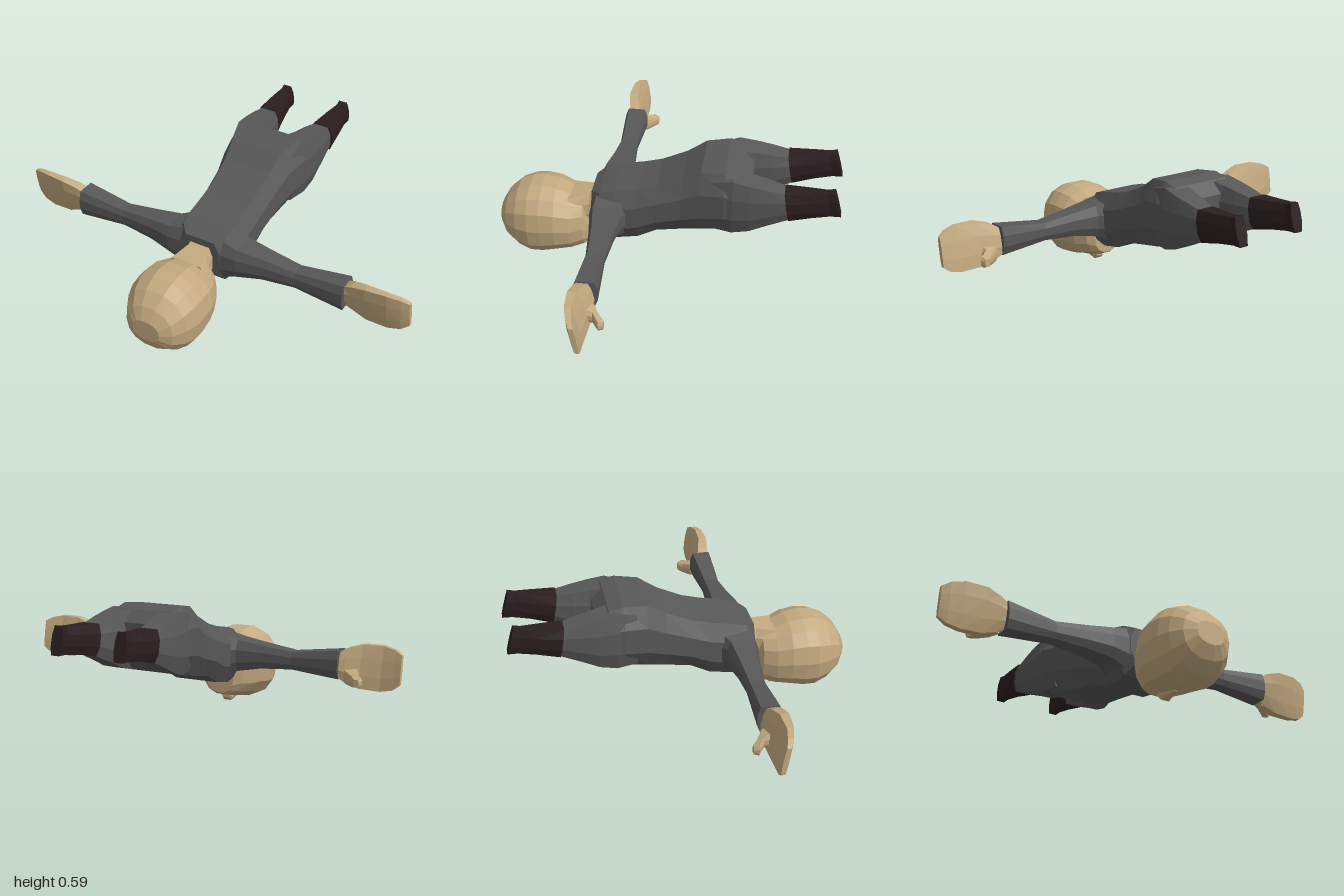
import * as THREE from 'three';

const suit = new THREE.MeshStandardMaterial({ color: 0x585858 });
suit.name = 'charcoal suit';
const skin = new THREE.MeshStandardMaterial({ color: 0xc4aa80 });
skin.name = 'tan skin';
const leather = new THREE.MeshStandardMaterial({ color: 0x2b1e20 });
leather.name = 'dark leather';

// Unit outlines: a chamfered box for body and limbs, a rounded one for the head
const BOX = [[0.74, 1], [1, 0.4], [1, -0.4], [0.72, -1], [-0.72, -1], [-1, -0.4], [-1, 0.4], [-0.74, 1]];
const ROUND = Array.from({ length: 14 }, (_, i) => {
  const a = ((i + 0.5) / 14) * Math.PI * 2;
  const p = (v) => Math.sign(v) * Math.abs(v) ** 0.85;
  return [p(Math.sin(a)) * 1.01, p(Math.cos(a)) * 1.02];
});

// Faceted skin over a list of rings, capped at both ends, always facing outward
function loft(name, material, rings) {
  const n = rings[0].length;
  const tris = [];
  for (let r = 0; r < rings.length - 1; r++) {
    for (let i = 0; i < n; i++) {
      const j = (i + 1) % n;
      const [a, b, c, d] = [rings[r][i], rings[r][j], rings[r + 1][j], rings[r + 1][i]];
      tris.push([a, b, c], [a, c, d]);
    }
  }
  const last = rings[rings.length - 1];
  for (let i = 1; i < n - 1; i++) {
    tris.push([rings[0][0], rings[0][i + 1], rings[0][i]], [last[0], last[i], last[i + 1]]);
  }
  const volume = tris.reduce((s, [a, b, c]) => s + a.dot(b.clone().cross(c)), 0);
  if (volume < 0) tris.forEach((t) => t.reverse());
  const geometry = new THREE.BufferGeometry().setFromPoints(tris.flat());
  geometry.computeVertexNormals();
  const mesh = new THREE.Mesh(geometry, material);
  mesh.name = name;
  return mesh;
}

// Ring across z: x range, y range, optional slant of the ring along z
function ringZ(outline, z, x0, x1, y0, y1, slant = 0) {
  return outline.map(([u, v]) => new THREE.Vector3(
    (x0 + x1) / 2 + (u * (x1 - x0)) / 2, (y0 + y1) / 2 + (v * (y1 - y0)) / 2, z + v * slant));
}

// Ring across x: z range, y range, optional lean of the ring toward +z at its top
function ringX(outline, x, z0, z1, y0, y1, lean = 0) {
  return outline.map(([u, v]) => new THREE.Vector3(
    x, (y0 + y1) / 2 + (v * (y1 - y0)) / 2, (z0 + z1) / 2 + (u * (z1 - z0)) / 2 + v * lean));
}

export function createModel() {
  const model = new THREE.Group();
  model.name = 'proneFigure';
  const centred = (outline, rows) => rows.map(([z, w, y0, y1]) => ringZ(outline, z, -w, w, y0, y1));

  // Torso, chest to seat: z, half width, bottom, top
  model.add(loft('torso', suit, centred(BOX, [
    [0.352, 0.1, 0.215, 0.39], [0.31, 0.15, 0.165, 0.41], [0.24, 0.157, 0.155, 0.43],
    [0.13, 0.157, 0.175, 0.45], [0.04, 0.157, 0.222, 0.475], [-0.08, 0.162, 0.245, 0.53],
    [-0.17, 0.178, 0.265, 0.588], [-0.28, 0.2, 0.29, 0.6], [-0.345, 0.2, 0.31, 0.585],
    [-0.4, 0.13, 0.37, 0.53],
  ])));

  // Neck and head, face down
  model.add(loft('neck', skin, centred(BOX, [
    [0.32, 0.07, 0.2, 0.365], [0.37, 0.066, 0.195, 0.35], [0.47, 0.1, 0.19, 0.335],
  ])));
  model.add(loft('head', skin, centred(ROUND, [
    [0.374, 0.075, 0.065, 0.23], [0.4, 0.115, 0.05, 0.32], [0.46, 0.15, 0.035, 0.335],
    [0.53, 0.172, 0.025, 0.365], [0.6, 0.177, 0.008, 0.376], [0.66, 0.174, 0.006, 0.37],
    [0.72, 0.155, 0.03, 0.345], [0.775, 0.12, 0.075, 0.295], [0.807, 0.07, 0.135, 0.24],
  ])));
  model.add(loft('nose', skin, centred(BOX, [
    [0.55, 0.012, 0.018, 0.06], [0.46, 0.03, 0.008, 0.06], [0.44, 0.022, 0.025, 0.06],
  ])));

  for (const [side, s] of [['left', 1], ['right', -1]]) {
    const add = (part, material, rings) => {
      rings.flat().forEach((p) => { p.x *= s; });
      model.add(loft(side + part, material, rings));
    };

    // Sleeve: x, z range, y range
    add('Arm', suit, [
      [0.08, 0.13, 0.35, 0.18, 0.4], [0.18, 0.195, 0.347, 0.222, 0.375],
      [0.3, 0.21, 0.325, 0.245, 0.36], [0.46, 0.222, 0.308, 0.255, 0.34],
      [0.7, 0.207, 0.32, 0.235, 0.37],
    ].map((r) => ringX(BOX, ...r)));

    // Flat mitten hand, leaning slightly, with a thumb
    add('Hand', skin, [
      [0.685, 0.225, 0.295, 0.25, 0.355, 0.01], [0.73, 0.23, 0.295, 0.225, 0.38, 0.018],
      [0.8, 0.245, 0.3, 0.2, 0.4, 0.022], [0.9, 0.252, 0.293, 0.195, 0.402, 0.02],
      [0.96, 0.245, 0.28, 0.208, 0.39, 0.015], [0.996, 0.24, 0.265, 0.235, 0.37, 0.01],
    ].map((r) => ringX(BOX, ...r)));
    add('Thumb', skin, [
      [0.265, 0.705, 0.8, 0.225, 0.3], [0.215, 0.73, 0.795, 0.22, 0.28],
      [0.185, 0.775, 0.835, 0.215, 0.265], [0.163, 0.8, 0.825, 0.22, 0.255],
    ].map((r) => ringZ(BOX, ...r)));

    // Trouser leg and boot: z, x range, y range, slant
    add('Leg', suit, [
      [-0.22, 0.03, 0.18, 0.3, 0.56], [-0.32, 0.04, 0.206, 0.3, 0.585],
      [-0.4, 0.066, 0.21, 0.322, 0.57], [-0.48, 0.078, 0.206, 0.36, 0.556],
      [-0.575, 0.098, 0.198, 0.405, 0.538, 0.01],
    ].map((r) => ringZ(BOX, ...r)));
    add('Boot', leather, [
      [-0.565, 0.092, 0.207, 0.4, 0.543, 0.012], [-0.68, 0.114, 0.197, 0.424, 0.55],
      [-0.755, 0.132, 0.184, 0.436, 0.556, 0.01], [-0.795, 0.13, 0.187, 0.438, 0.563, 0.017],
    ].map((r) => ringZ(BOX, ...r)));
  }
  return model;
}
